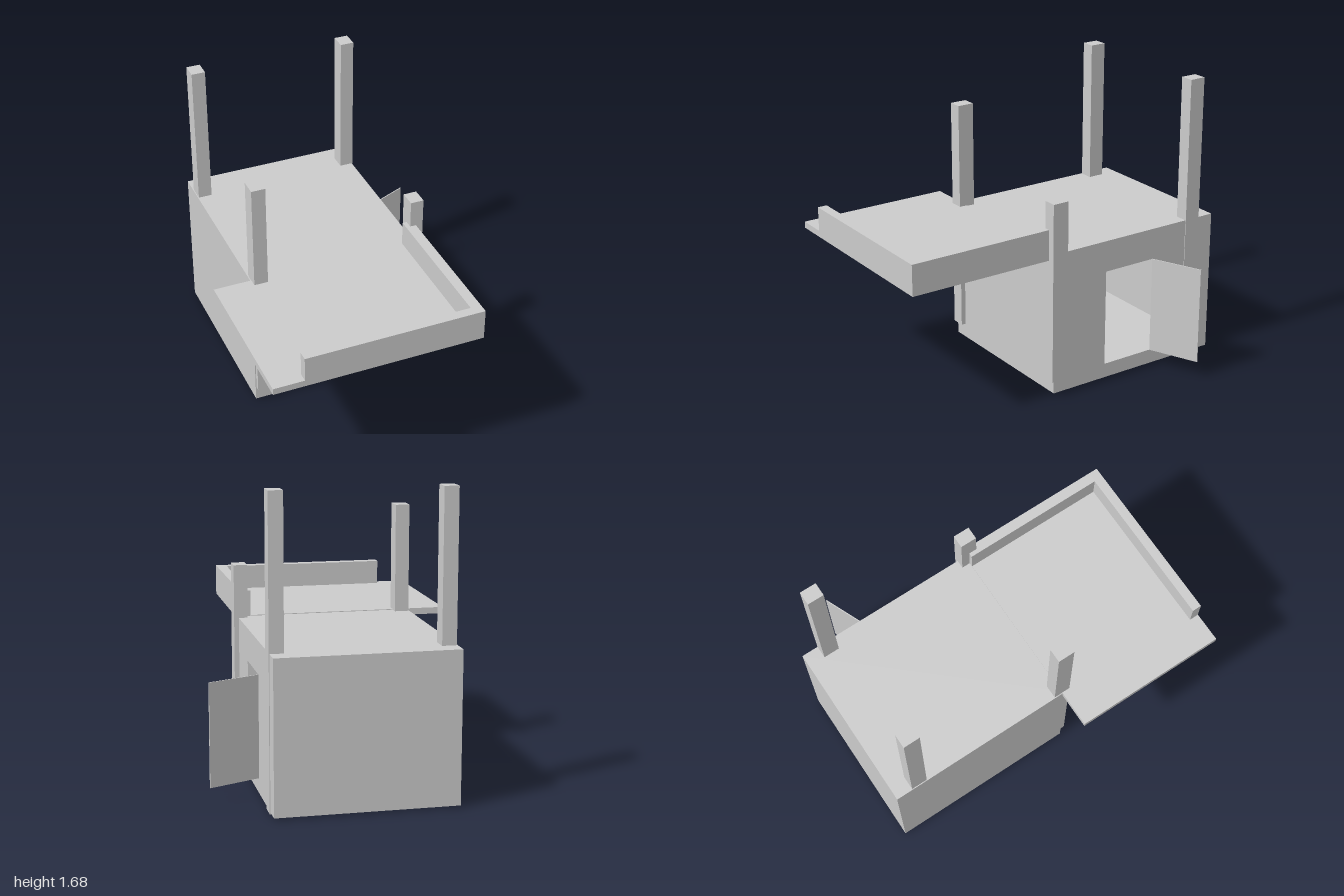
import * as THREE from 'three';

export function createModel() {
  const model = new THREE.Group();
  const solid = new THREE.MeshStandardMaterial({ color: 0xcccccc, flatShading: true });
  const thin = new THREE.MeshStandardMaterial({ color: 0xcccccc, flatShading: true, side: THREE.DoubleSide });

  const add = (name, geometry, material, parent = model) => {
    const mesh = new THREE.Mesh(geometry, material);
    mesh.name = name;
    parent.add(mesh);
    return mesh;
  };

  // Box given by its extents along each axis
  const block = (name, [x0, x1], [y0, y1], [z0, z1], parent = model) => {
    const mesh = add(name, new THREE.BoxGeometry(x1 - x0, y1 - y0, z1 - z0), solid, parent);
    mesh.position.set((x0 + x1) / 2, (y0 + y1) / 2, (z0 + z1) / 2);
    return mesh;
  };

  // Hollow cabin made of thin sheets
  const [L, R, B, T, K, F] = [-0.535, 0.46, 0.01, 0.848, -1, 0.115];
  const cabin = new THREE.Group();
  cabin.name = 'cabin';
  model.add(cabin);
  const sheet = (name, w, h, pos, rot) => {
    const mesh = add(name, new THREE.PlaneGeometry(w, h), thin, cabin);
    mesh.position.set(...pos);
    mesh.rotation.set(...rot);
  };
  const cx = (L + R) / 2, cy = (B + T) / 2, cz = (K + F) / 2, q = Math.PI / 2;
  sheet('frontWall', R - L, T - B, [cx, cy, F], [0, 0, 0]);
  sheet('backWall', R - L, T - B, [cx, cy, K], [0, Math.PI, 0]);
  sheet('rightWall', F - K, T - B, [L, cy, cz], [0, -q, 0]);
  sheet('roof', R - L, F - K, [cx, T, cz], [-q, 0, 0]);
  sheet('floor', R - L, F - K, [cx, B, cz], [q, 0, 0]);

  // Wall with the doorway; the shape's x runs along -z
  const rect = (Type, x0, x1, y0, y1) => new Type([
    new THREE.Vector2(x0, y0), new THREE.Vector2(x1, y0),
    new THREE.Vector2(x1, y1), new THREE.Vector2(x0, y1),
  ]);
  const wall = rect(THREE.Shape, -F, -K, B, T);
  wall.holes.push(rect(THREE.Path, 0.24, 0.57, 0.095, 0.665));
  const doorWall = add('doorWall', new THREE.ShapeGeometry(wall), thin, cabin);
  doorWall.rotation.y = q;
  doorWall.position.x = R;

  // Door swung open on its hinge
  const hinge = new THREE.Group();
  hinge.name = 'doorHinge';
  hinge.position.set(R, 0, -0.57);
  hinge.rotation.y = Math.atan2(0.12, 0.28);
  model.add(hinge);
  block('door', [0, 0.307], [0.095, 0.665], [-0.003, 0.003], hinge);

  // Corner posts
  block('backRightPost', [-0.53, -0.45], [0, 1.68], [-0.9, -0.805]);
  block('backLeftPost', [0.385, 0.464], [0, 1.68], [-0.9, -0.805]);
  block('frontRightPost', [-0.53, -0.45], [0.095, 1.465], [0.045, 0.143]);
  block('frontLeftPost', [0.41, 0.487], [0.095, 1.15], [0.045, 0.143]);

  // Porch platform with an L-shaped rail
  block('platform', [-0.75, 0.445], [0.815, 0.852], [0.095, 1]);
  block('frontRail', [-0.575, 0.445], [0.852, 0.993], [0.945, 1]);
  block('sideRail', [0.385, 0.445], [0.852, 0.993], [0.095, 0.945]);

  return model;
}
